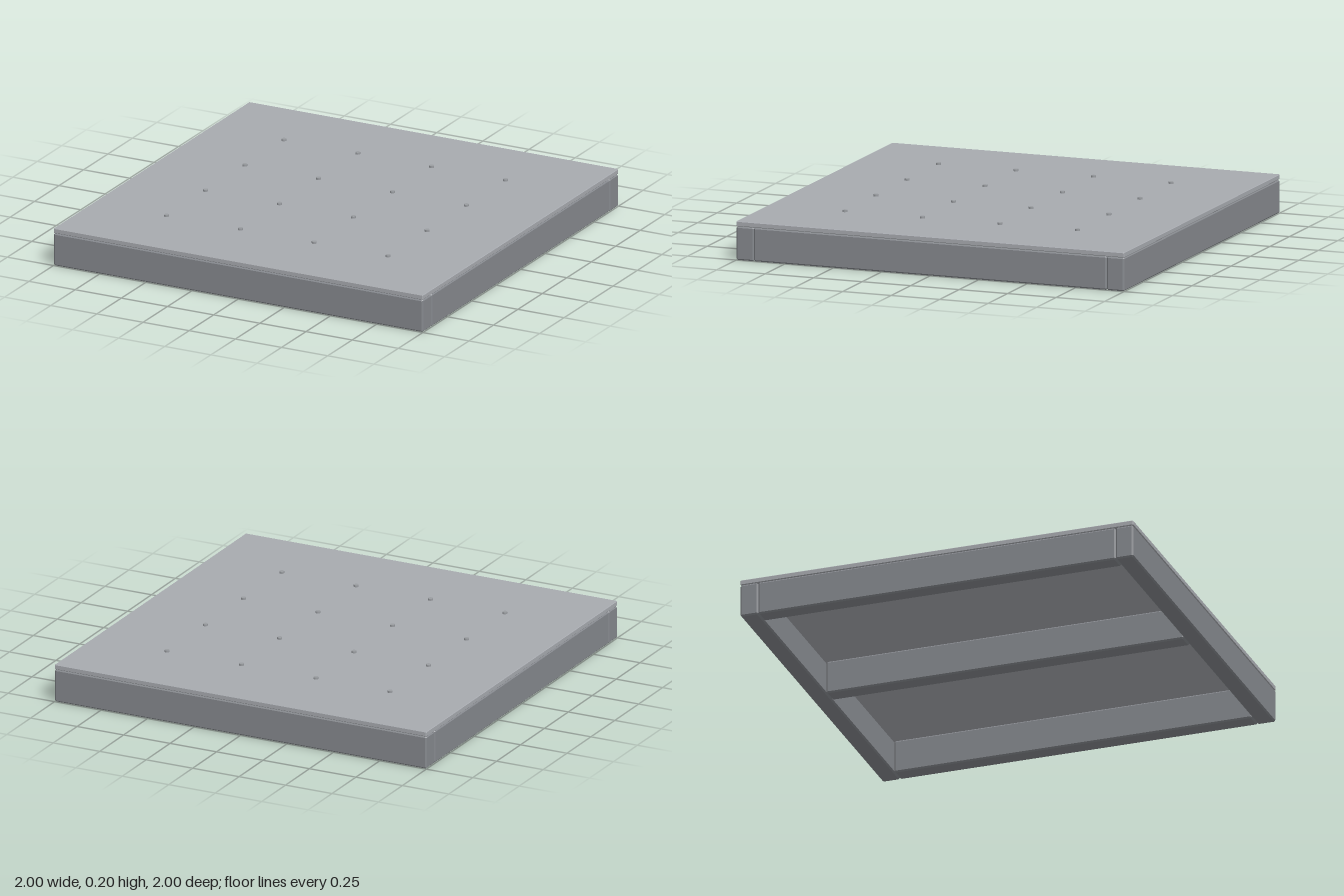
import * as THREE from 'three';
import { ConvexGeometry } from 'three/addons/geometries/ConvexGeometry.js';

// Box whose edges are all cut by a small flat chamfer
function chamferedBox(w, h, d, c) {
  const points = [];
  for (const x of [-w / 2, w / 2]) for (const y of [-h / 2, h / 2]) for (const z of [-d / 2, d / 2]) {
    const ix = x - Math.sign(x) * c, iy = y - Math.sign(y) * c, iz = z - Math.sign(z) * c;
    points.push(
      new THREE.Vector3(x, iy, iz),
      new THREE.Vector3(ix, y, iz),
      new THREE.Vector3(ix, iy, z));
  }
  return new ConvexGeometry(points);
}

export function createModel() {
  const model = new THREE.Group();
  model.name = 'platform';
  const frameMaterial = new THREE.MeshStandardMaterial({ color: 0x85888d });
  const deckMaterial = new THREE.MeshStandardMaterial({ color: 0xa7aaaf });
  const screwMaterial = new THREE.MeshStandardMaterial({ color: 0x9a9da1 });

  const add = (name, geometry, material, x, y, z) => {
    const mesh = new THREE.Mesh(geometry, material);
    mesh.name = name;
    mesh.position.set(x, y, z);
    model.add(mesh);
  };

  const beamWidth = 0.09, beamHeight = 0.165;
  const deckThickness = 0.025, deckTop = beamHeight + deckThickness;
  const beam = (name, w, d, x, z) => add(
    name, chamferedBox(w, beamHeight, d, 0.007), frameMaterial, x, beamHeight / 2, z);

  // Front and back rails run the full width
  const railOffset = 1 - beamWidth / 2;
  beam('frontRail', 2, beamWidth, 0, railOffset);
  beam('backRail', 2, beamWidth, 0, -railOffset);

  // Side and centre joists fit between them
  const joistLength = 2 - 2 * beamWidth;
  beam('leftJoist', beamWidth, joistLength, railOffset, 0);
  beam('centreJoist', beamWidth, joistLength, 0, 0);
  beam('rightJoist', beamWidth, joistLength, -railOffset, 0);

  // Deck panel
  add('deck', chamferedBox(2, deckThickness, 2, 0.003), deckMaterial, 0, beamHeight + deckThickness / 2, 0);

  // Grid of screw heads standing slightly proud of the deck
  const screw = new THREE.CylinderGeometry(0.012, 0.012, 0.02, 16);
  for (const x of [-0.6, -0.2, 0.2, 0.6]) {
    for (const z of [-0.6, -0.2, 0.2, 0.6]) add('screwHead', screw, screwMaterial, x, deckTop, z);
  }
  return model;
}
